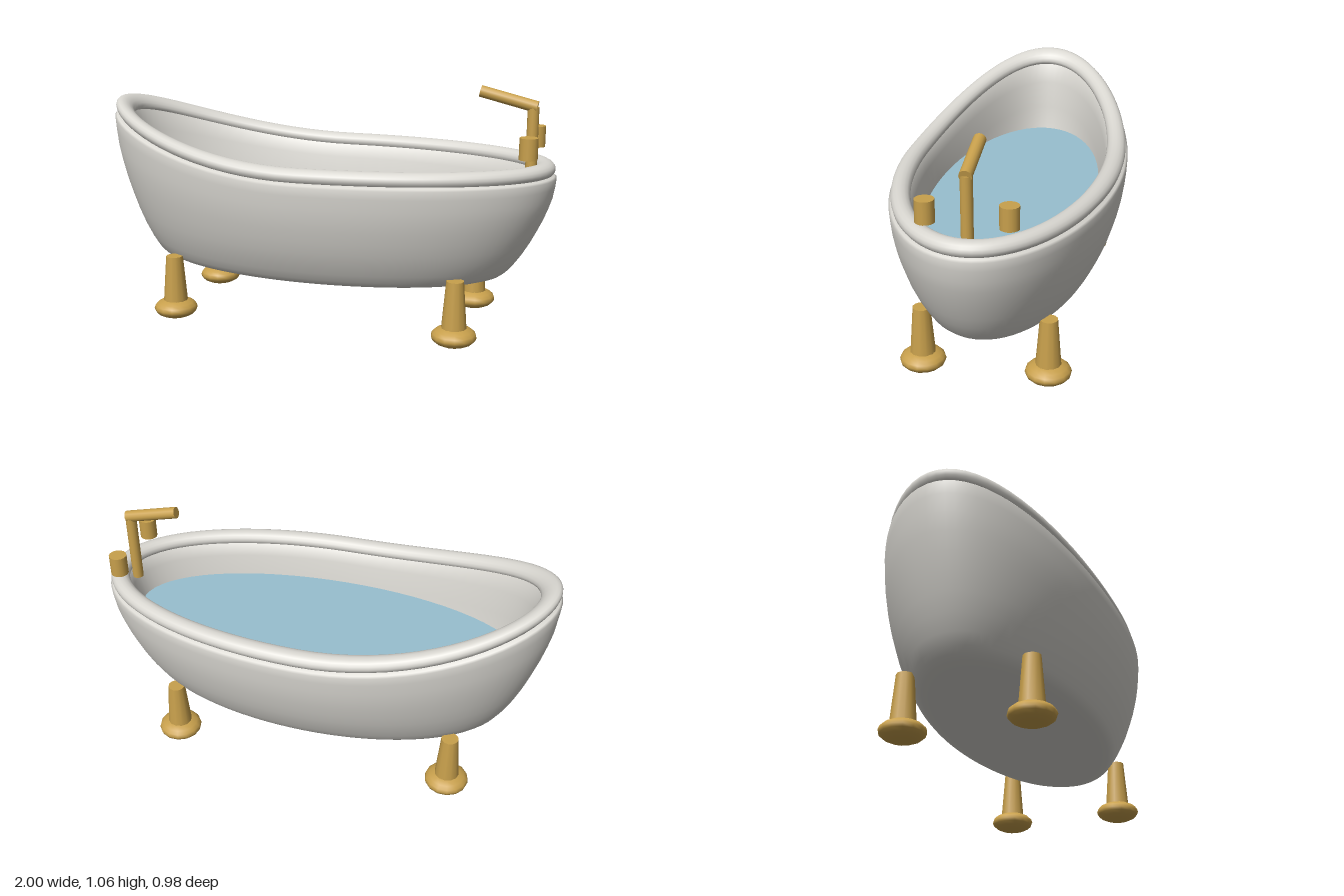
import * as THREE from 'three';

const porcelain = new THREE.MeshStandardMaterial({ color: 0xd9d7d1 });
porcelain.name = 'porcelain';
const brass = new THREE.MeshStandardMaterial({ color: 0xc8a04c });
brass.name = 'brass';
const waterBlue = new THREE.MeshStandardMaterial({ color: 0x98bfcf });
waterBlue.name = 'waterBlue';

const BASE = 0.21;
// Rim height: level at the tap end, sweeping up towards the backrest
const rimHeight = (x) => 0.722 + (x < 0 ? 0.222 * x * x : 0);

// Skin of elliptical rings; each row is [x radius, z radius, height fraction, y offset]
function ellipticalSkin(rows, segments = 80) {
  const positions = [], indices = [];
  rows.forEach(([a, b, t, dy = 0], i) => {
    for (let j = 0; j < segments; j++) {
      const angle = (j / segments) * Math.PI * 2;
      const x = a * Math.cos(angle);
      positions.push(x, BASE + t * (rimHeight(x) - BASE) + dy, b * Math.sin(angle));
      if (i === rows.length - 1) continue;
      const k = (j + 1) % segments;
      const p = i * segments + j, q = i * segments + k;
      indices.push(p, p + segments, q, q, p + segments, q + segments);
    }
  });
  const geometry = new THREE.BufferGeometry();
  geometry.setAttribute('position', new THREE.Float32BufferAttribute(positions, 3));
  geometry.setIndex(indices);
  geometry.computeVertexNormals();
  return geometry;
}

function addMesh(parent, name, geometry, material, x = 0, y = 0, z = 0) {
  const mesh = new THREE.Mesh(geometry, material);
  mesh.name = name;
  mesh.position.set(x, y, z);
  parent.add(mesh);
  return mesh;
}

export function createModel() {
  const model = new THREE.Group();
  model.name = 'bathtub';

  // Tub: underside, outer wall, top edge, inner wall and floor
  addMesh(model, 'tub', ellipticalSkin([
    [0, 0, 0], [0.4, 0.18, 0.03], [0.7, 0.31, 0.053], [0.75, 0.335, 0.06],
    [0.785, 0.353, 0.082], [0.808, 0.367, 0.115], [0.837, 0.387, 0.18],
    [0.87, 0.41, 0.27], [0.9, 0.432, 0.37], [0.926, 0.448, 0.47],
    [0.95, 0.463, 0.57], [0.97, 0.474, 0.67], [0.985, 0.481, 0.76],
    [0.994, 0.486, 0.86], [0.998, 0.488, 0.93], [0.99, 0.48, 0.945],
    [0.95, 0.435, 0.99], [0.915, 0.4, 0.97], [0.9, 0.388, 0.85],
    [0.877, 0.366, 0.68], [0.866, 0.357, 0.5], [0.82, 0.33, 0.3],
    [0.74, 0.28, 0.16], [0.6, 0.22, 0.12], [0, 0, 0.1],
  ]), porcelain);

  // Rolled rim with an oval section
  const section = [];
  for (let i = 0; i <= 16; i++) {
    const angle = -Math.PI / 2 + (i / 16) * Math.PI * 2;
    const d = 0.042 * Math.cos(angle);
    section.push([0.95 + d, 0.435 + d, 1, 0.033 * Math.sin(angle)]);
  }
  addMesh(model, 'rolledRim', ellipticalSkin(section), porcelain);

  // Water surface
  const water = new THREE.CircleGeometry(1, 64).rotateX(-Math.PI / 2).scale(0.867, 1, 0.359);
  addMesh(model, 'water', water, waterBlue, 0, 0.56, 0);

  // Four tapered legs on flattened round feet
  const legGeometry = new THREE.CylinderGeometry(0.037, 0.055, 0.225, 12);
  const footGeometry = new THREE.SphereGeometry(0.096, 14, 10).scale(1, 0.46, 1);
  for (const x of [-0.63, 0.63]) {
    for (const z of [-0.262, 0.262]) {
      const leg = new THREE.Group();
      leg.name = 'leg';
      leg.position.set(x, 0, z);
      addMesh(leg, 'legPost', legGeometry, brass, 0, 0.1725, 0);
      addMesh(leg, 'foot', footGeometry, brass, 0, 0.046, 0);
      model.add(leg);
    }
  }

  // Tap: upright pipe, sloping spout and a handle on each side
  const tap = new THREE.Group();
  tap.name = 'tap';
  addMesh(tap, 'tapPipe', new THREE.CylinderGeometry(0.024, 0.024, 0.31, 16), brass, 0.89, 0.825, 0);
  const spout = addMesh(tap, 'spout', new THREE.CylinderGeometry(0.025, 0.025, 0.243, 16), brass, 0.788, 1.009, 0);
  spout.rotation.z = Math.atan2(0.235, 0.058);
  const handleGeometry = new THREE.CylinderGeometry(0.038, 0.038, 0.09, 16);
  for (const side of [-1, 1]) addMesh(tap, 'tapHandle', handleGeometry, brass, 0.893, 0.833, side * 0.157);
  model.add(tap);

  return model;
}
